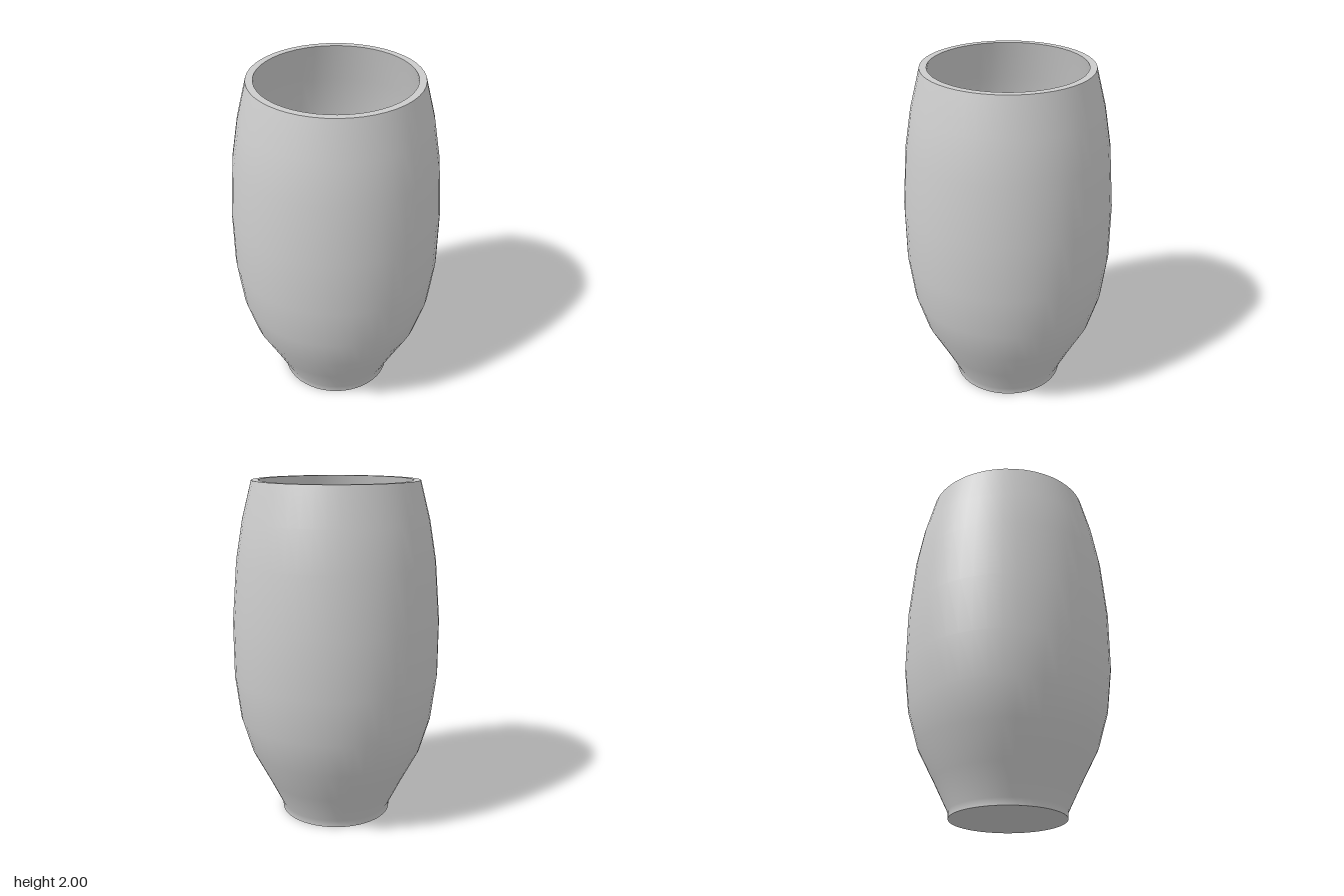
import * as THREE from 'three';

const SEGMENTS = 48;

export function createModel() {
  const group = new THREE.Group();
  group.name = 'vase';
  const material = new THREE.MeshStandardMaterial({ color: 0xcccccc });

  // Each surface is its own lathe, so the edges between them stay sharp.
  const addLathe = (name, profile) => {
    const points = profile.map(([r, y]) => new THREE.Vector2(r, y));
    const mesh = new THREE.Mesh(new THREE.LatheGeometry(points, SEGMENTS), material);
    mesh.name = name;
    group.add(mesh);
  };

  // Flat underside and short upright foot
  addLathe('base', [[0, 0], [0.33, 0]]);

  // Bulging outer wall, from foot to mouth
  addLathe('outerWall', [
    [0.33, 0], [0.332, 0.04], [0.415, 0.21], [0.515, 0.405], [0.575, 0.61],
    [0.606, 0.87], [0.606, 1.2], [0.577, 1.55], [0.537, 1.78], [0.48, 2],
  ]);

  // Flat lip
  addLathe('rim', [[0.48, 2], [0.44, 2]]);

  // Inner wall running down to a softly rounded floor
  addLathe('innerWall', [
    [0.44, 2], [0.497, 1.77], [0.537, 1.545], [0.566, 1.2], [0.566, 0.875],
    [0.536, 0.62], [0.478, 0.425], [0.38, 0.23], [0.34, 0.15], [0, 0.1],
  ]);

  return group;
}
